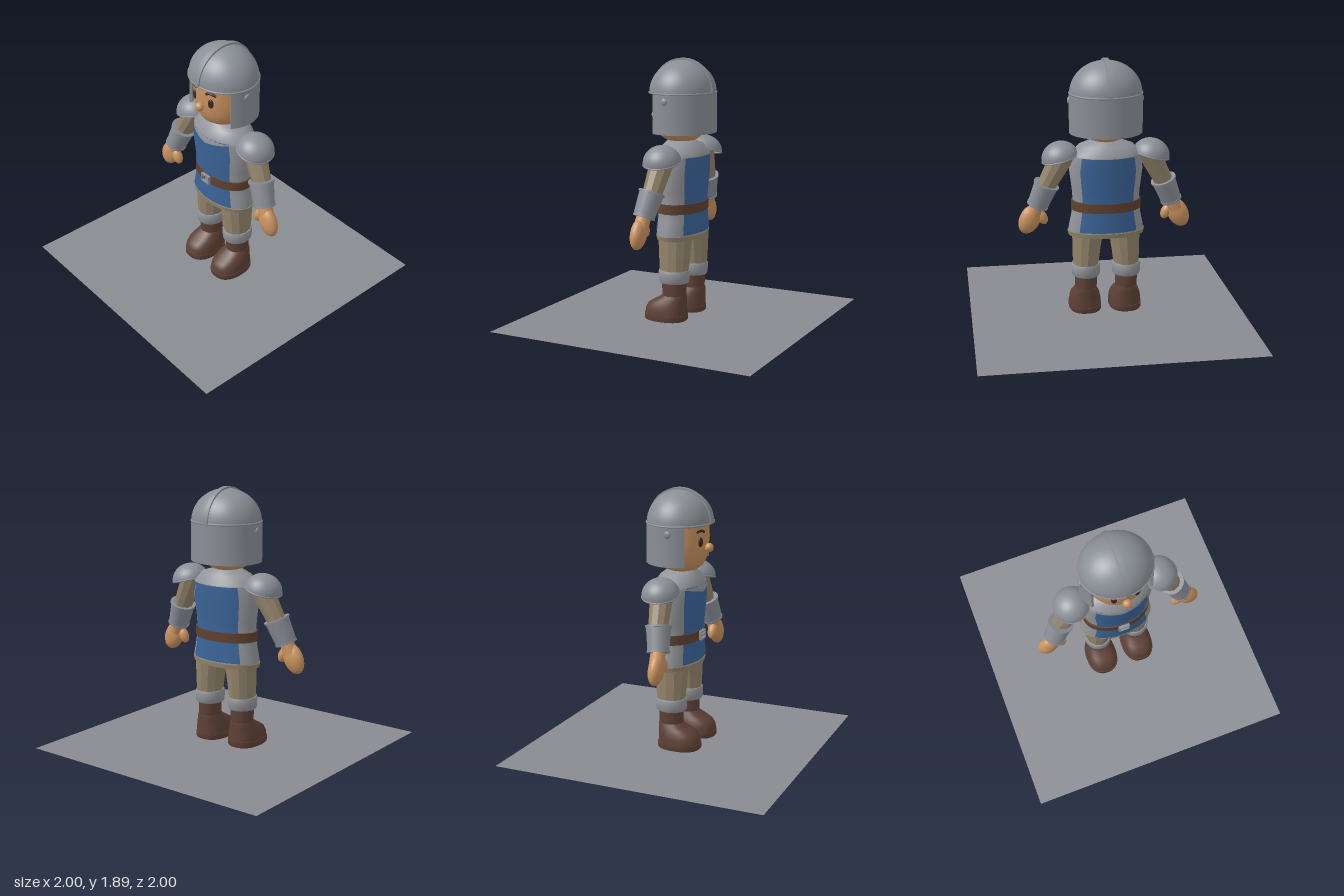
import * as THREE from 'three';
import { toCreasedNormals } from 'three/addons/utils/BufferGeometryUtils.js';

function paint(name, color, extra = {}) {
  const m = new THREE.MeshStandardMaterial({ color, ...extra });
  m.name = name;
  return m;
}

// Elliptic rings [y, rx, rz, cx, cz], listed from bottom to top; t = 0 faces +z.
function loft(rings, { segs = 40, t0 = 0, t1 = Math.PI * 2, power = 2, caps = true, drop = () => 0 } = {}) {
  const pos = [], idx = [], closed = t1 - t0 > 6.28, n = segs + 1;
  const bend = v => Math.sign(v) * Math.pow(Math.abs(v), 2 / power);
  rings.forEach(([y, rx, rz, cx = 0, cz = 0], i) => {
    for (let j = 0; j < n; j++) {
      const t = t0 + (t1 - t0) * j / segs;
      pos.push(cx + rx * bend(Math.sin(t)), y - (i === 0 ? drop(t) : 0), cz + rz * bend(Math.cos(t)));
    }
  });
  for (let i = 0; i < rings.length - 1; i++) {
    for (let j = 0; j < segs; j++) {
      const a = i * n + j, b = a + 1, d = a + n, c = d + 1;
      idx.push(a, b, c, a, c, d);
    }
  }
  if (closed && caps) {
    [0, rings.length - 1].forEach(i => {
      const [y, , , cx = 0, cz = 0] = rings[i], mid = pos.length / 3;
      pos.push(cx, y, cz);
      for (let j = 0; j < segs; j++) {
        const a = i * n + j;
        if (i === 0) idx.push(mid, a + 1, a); else idx.push(mid, a, a + 1);
      }
    });
  }
  const g = new THREE.BufferGeometry();
  g.setAttribute('position', new THREE.Float32BufferAttribute(pos, 3));
  g.setIndex(idx);
  return toCreasedNormals(g, 0.7);
}

export function createModel() {
  const model = new THREE.Group();
  const steel = paint('steel', 0x8a8f96, { side: THREE.DoubleSide });
  const mail = paint('mail', 0x92959a, { side: THREE.DoubleSide });
  const stone = paint('ground grey', 0x888b90, { side: THREE.DoubleSide });
  const skin = paint('skin', 0xc9925f);
  const blue = paint('blue cloth', 0x3a6498, { side: THREE.DoubleSide });
  const cloth = paint('beige cloth', 0x94856c, { flatShading: true });
  const boot = paint('boot leather', 0x5e4136);
  const belt = paint('belt leather', 0x5f412f);
  const dark = paint('dark brown', 0x3a281f);

  function add(name, geo, mat, x = 0, y = 0, z = 0, parent = model) {
    const m = new THREE.Mesh(geo, mat);
    m.name = name;
    m.position.set(x, y, z);
    parent.add(m);
    return m;
  }
  const ball = (name, mat, p, r, rot = [0, 0, 0]) => {
    const m = add(name, new THREE.SphereGeometry(1, 24, 16), mat, ...p);
    m.scale.set(...r);
    m.rotation.set(...rot);
    return m;
  };
  // Tapered limb from top point a to bottom point b
  function limb(name, mat, a, b, ra, rb, sides, open = false) {
    const A = new THREE.Vector3(...a), B = new THREE.Vector3(...b);
    const m = add(name, new THREE.CylinderGeometry(ra, rb, A.distanceTo(B), sides, 1, open), mat);
    m.position.copy(A).lerp(B, 0.5);
    m.quaternion.setFromUnitVectors(new THREE.Vector3(0, 1, 0), A.clone().sub(B).normalize());
    return m;
  }

  // Ground sheet
  add('ground', new THREE.PlaneGeometry(2, 2).rotateX(-Math.PI / 2), stone);

  // Tunic with blue front and back panels
  const cz = -0.015;
  const body = [[0.635, 0.276, 0.156], [0.67, 0.273, 0.157], [0.75, 0.256, 0.152], [0.85, 0.242, 0.15],
    [0.95, 0.249, 0.155], [1.1, 0.268, 0.168], [1.21, 0.25, 0.172]];
  const ring = (r, o = 0) => [r[0], r[1] + o, r[2] + o, 0, cz];
  add('tunic', loft(body.map(r => ring(r))), mail);
  const panel = body.map((r, i) => ring(i ? r : [0.65, 0.275, 0.157], 0.005));
  add('frontPanel', loft(panel, { segs: 16, t0: -0.83, t1: 0.83 }), blue);
  add('backPanel', loft(panel, { segs: 16, t0: Math.PI - 0.83, t1: Math.PI + 0.83 }), blue);
  add('hem', loft([[0.608, 0.276, 0.157, 0, cz], [0.64, 0.282, 0.161, 0, cz]]), cloth);

  // Mantle with a pointed front edge
  const point = t => Math.cos(t) > 0 ? 0.05 * Math.max(0, 1 - Math.abs(Math.sin(t)) / 0.9) : 0;
  add('mantle', loft([[1.205, 0.257, 0.179, 0, cz], [1.215, 0.252, 0.177, 0, cz], [1.275, 0.2, 0.135, 0, cz],
    [1.31, 0.09, 0.1, 0, -0.005]], { drop: point, caps: false }), mail);

  // Belt and buckle
  add('belt', loft([[0.8, 0.254, 0.163, 0, cz], [0.87, 0.254, 0.163, 0, cz]]), belt);
  for (const s of [-1, 1]) {
    add('buckleSide', new THREE.BoxGeometry(0.01, 0.06, 0.022), steel, s * 0.037, 0.835, 0.158);
    add('buckleBar', new THREE.BoxGeometry(0.084, 0.01, 0.022), steel, 0, 0.835 + s * 0.028, 0.158);
  }
  add('bucklePin', new THREE.BoxGeometry(0.04, 0.008, 0.015), steel, 0.017, 0.835, 0.156);

  // Neck and head
  add('neck', new THREE.CylinderGeometry(0.09, 0.09, 0.1, 24), skin, 0, 1.29, 0);
  add('head', loft([[1.308, 0.09, 0.09], [1.32, 0.125, 0.118], [1.345, 0.16, 0.148], [1.385, 0.187, 0.169],
    [1.44, 0.205, 0.184], [1.52, 0.212, 0.19], [1.67, 0.21, 0.188]]), skin);
  ball('nose', skin, [0, 1.48, 0.207], [0.033, 0.033, 0.031]);

  // Helmet: dome, rim, crest and wrap-around guard
  const dome = add('helmetDome', new THREE.SphereGeometry(1, 48, 20, 0, Math.PI * 2, 0, Math.PI / 2), steel, 0, 1.65, cz);
  dome.scale.set(0.26, 0.232, 0.236);
  const rim = add('helmetRim', new THREE.TorusGeometry(0.26, 0.007, 8, 48).rotateX(Math.PI / 2), steel, 0, 1.653, cz);
  rim.scale.z = 0.91;
  const arch = new THREE.Shape();
  arch.absellipse(0, 0, 0.243, 0.245, 0, Math.PI, false);
  arch.absellipse(0, 0, 0.225, 0.222, Math.PI, 0, true);
  const crest = new THREE.ExtrudeGeometry(arch, { depth: 0.036, bevelEnabled: false, curveSegments: 32 });
  crest.translate(0, 0, -0.018).rotateY(Math.PI / 2);
  add('helmetCrest', toCreasedNormals(crest, 0.6), steel, 0, 1.65, cz);
  const wrap = new THREE.Shape();
  wrap.absellipse(0, 0, 0.264, 0.238, -0.57, Math.PI + 0.57, false);
  wrap.absellipse(0, 0, 0.244, 0.218, Math.PI + 0.57, -0.57, true);
  const guard = new THREE.ExtrudeGeometry(wrap, { depth: 0.285, bevelEnabled: false, curveSegments: 40 });
  add('helmetGuard', toCreasedNormals(guard.rotateX(-Math.PI / 2), 0.6), steel, 0, 1.367, cz);

  for (const s of [-1, 1]) {
    // Face and helmet details
    ball('eye', dark, [s * 0.085, 1.53, 0.176], [0.021, 0.035, 0.012], [0, s * 0.4, 0]);
    const line = new THREE.QuadraticBezierCurve3(new THREE.Vector3(s * 0.05, 1.598, 0.187),
      new THREE.Vector3(s * 0.085, 1.624, 0.183), new THREE.Vector3(s * 0.122, 1.6, 0.16));
    add('eyebrow', new THREE.TubeGeometry(line, 10, 0.009, 8), dark);
    ball('helmetRivet', steel, [s * 0.264, 1.6, 0], [0.012, 0.026, 0.026]);

    // Shoulder plate
    const plate = ball('shoulderPlate', steel, [s * 0.33, 1.188, -0.02], [0.135, 0.12, 0.135], [0, 0, -s * 0.25]);
    plate.geometry = new THREE.SphereGeometry(1, 32, 14, 0, Math.PI * 2, 0, Math.PI / 2);
    const edge = add('shoulderRim', new THREE.TorusGeometry(0.133, 0.006, 8, 32).rotateX(Math.PI / 2), steel,
      s * 0.33, 1.188, -0.02);
    edge.rotation.z = -s * 0.25;

    // Arm, bracer and mitten hand
    limb('upperArm', cloth, [s * 0.3, 1.23, -0.02], [s * 0.435, 0.97, 0.005], 0.088, 0.068, 10);
    limb('bracer', steel, [s * 0.43, 0.985, 0.008], [s * 0.495, 0.822, 0.035], 0.088, 0.076, 20);
    limb('bracerTopRim', steel, [s * 0.427, 0.992, 0.007], [s * 0.432, 0.979, 0.009], 0.095, 0.095, 20);
    limb('bracerBottomRim', steel, [s * 0.491, 0.832, 0.033], [s * 0.496, 0.819, 0.035], 0.08, 0.08, 20);
    limb('wrist', skin, [s * 0.49, 0.84, 0.033], [s * 0.53, 0.75, 0.04], 0.05, 0.055, 16);
    ball('hand', skin, [s * 0.55, 0.715, 0.045], [0.077, 0.115, 0.054], [0, 0, s * 0.45]);
    ball('thumb', skin, [s * 0.462, 0.728, 0.05], [0.038, 0.062, 0.037], [0, 0, -s * 0.45]);

    // Trouser leg and cuff
    const x = s * 0.15;
    add('trouserLeg', loft([[0.34, 0.092, 0.105, s * 0.152, -0.022], [0.48, 0.103, 0.115, s * 0.145, -0.022],
      [0.66, 0.118, 0.126, s * 0.132, -0.022]], { segs: 12 }), cloth);
    add('bootCuff', loft([[0.29, 0.097, 0.106, x, -0.02], [0.3, 0.103, 0.112, x, -0.02], [0.365, 0.107, 0.116, x, -0.02],
      [0.382, 0.101, 0.11, x, -0.02]], { segs: 24 }), mail);

    // Boot shaft, foot and sole
    add('bootShaft', loft([[0.17, 0.079, 0.088, x, -0.022], [0.31, 0.083, 0.092, x, -0.022]], { segs: 14 }), boot);
    add('bootFoot', loft([[0.05, 0.116, 0.156, x, 0.044], [0.09, 0.115, 0.153, x, 0.042], [0.125, 0.106, 0.143, x, 0.032],
      [0.15, 0.097, 0.124, x, 0.012], [0.175, 0.086, 0.1, x, -0.013], [0.195, 0.078, 0.087, x, -0.023]],
      { power: 2.4 }), boot);
    add('bootSole', loft([[0.008, 0.116, 0.155, x, 0.044], [0.016, 0.12, 0.16, x, 0.044], [0.052, 0.12, 0.16, x, 0.044]],
      { power: 2.4 }), boot);
  }
  return model;
}
